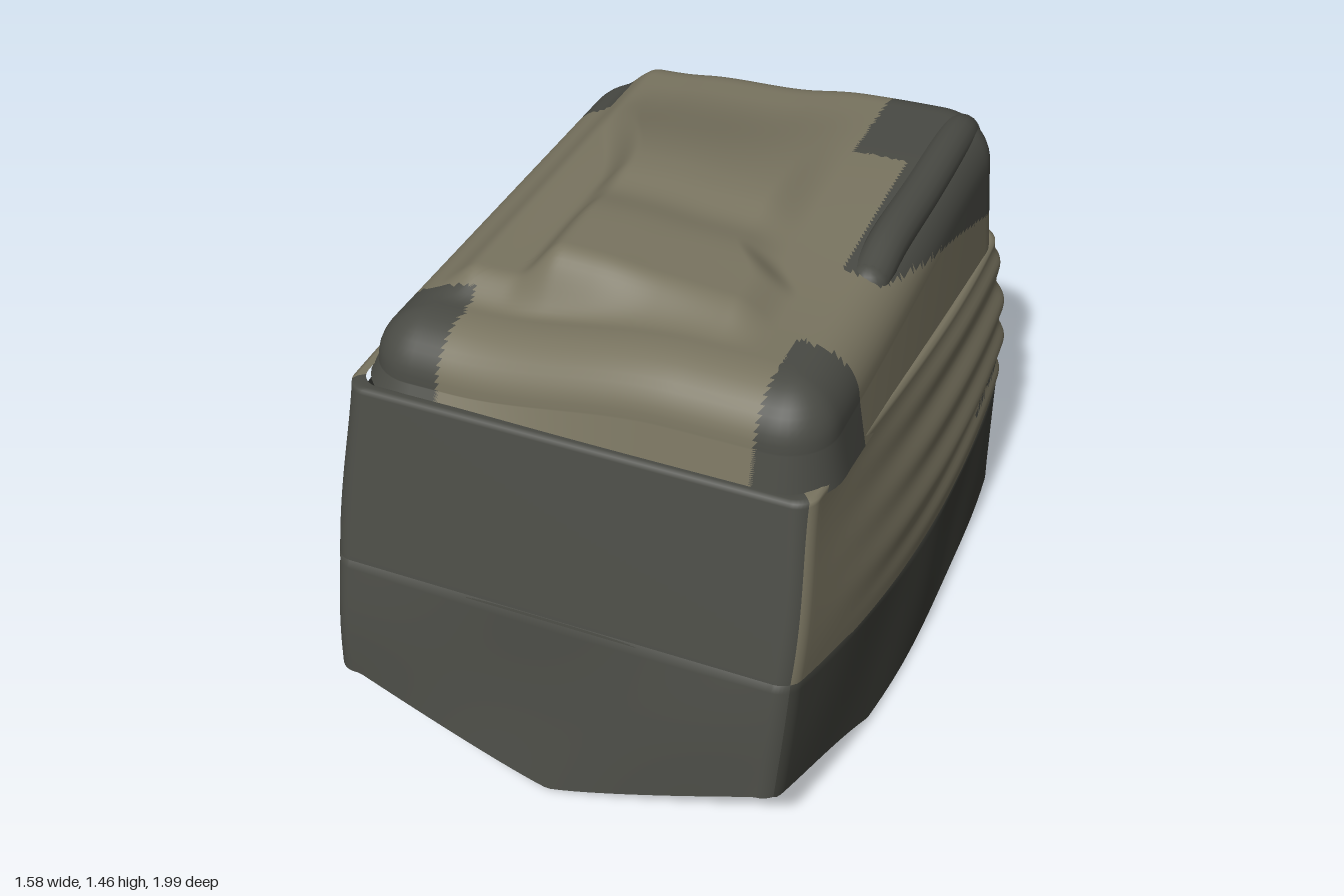
import * as THREE from 'three';

function flat(name, color) {
  const m = new THREE.MeshStandardMaterial({ color });
  m.name = name;
  return m;
}
const tan = flat('tanCloth', 0x797460);
const dark = flat('darkCloth', 0x494a44);
const deep = flat('deepDarkCloth', 0x3d3e38);

const { smoothstep, lerp, clamp } = THREE.MathUtils;
const gauss = (d, w) => Math.exp(-(d * d) / (w * w));

// Perimeter of a rounded rectangle: core position (kx, kz) and outward normal (nx, nz)
function makePerimeter(side, arc) {
  const corners = [[1, 1], [-1, 1], [-1, -1], [1, -1]];
  const out = [];
  corners.forEach(([kx, kz], c) => {
    for (let i = 0; i <= arc; i++) {
      const a = (c + i / arc) * Math.PI / 2;
      out.push({ kx, kz, nx: Math.cos(a), nz: Math.sin(a) });
    }
    const next = corners[(c + 1) % 4], a = (c + 1) * Math.PI / 2;
    for (let i = 1; i < side; i++) {
      out.push({
        kx: lerp(kx, next[0], i / side), kz: lerp(kz, next[1], i / side),
        nx: Math.cos(a), nz: Math.sin(a),
      });
    }
  });
  return out;
}
const perimeter = makePerimeter(72, 9);

// Point on the outline in plan: half width w, front zf, back zb, corner radii
function plan(e, { w, zf, zb, rf, rb }) {
  const r = lerp(rb, rf, (e.kz + 1) / 2);
  return [e.kx * (w - r) + e.nx * r, (zf + zb) / 2 + e.kz * ((zf - zb) / 2 - r) + e.nz * r];
}

// Lower body outline at height y, pulled inwards by inset; sides bow out behind the middle
function wall(e, y, inset = 0) {
  const zf = y < 0.58 ? 1.0 - 0.18 * y : 0.896 - (y - 0.58) * 0.245;
  const w = 0.785 - 0.07 * smoothstep(y, 0.6, 1.12);
  const [x, z] = plan(e, { w: w - inset, zf: zf - inset, zb: -0.985 + inset, rf: 0.06, rb: 0.13 });
  const narrow = z > -0.2
    ? (0.12 - 0.06 * smoothstep(y, 0.6, 1.1)) * ((z + 0.2) / 1.15) ** 2
    : 0.045 * ((z + 0.2) / 0.8) ** 2;
  return [x * (1 - narrow) - 0.018 * ((z + 0.3) / 1.1) ** 2, y, z];
}

const skirtTop = z => 0.455 + 0.087 * z + 0.063 * z * z;
const bandTop = z => Math.min(1.11, 1.055 + 0.1 * z);

// Hem: lifted at the front corners, dipping at the front centre, wavy elsewhere
function hem(e) {
  const [x, , z] = wall(e, 0.15);
  if (e.nz > 0.5) return 0.015 + 0.195 * Math.pow(Math.min(1, Math.abs(x + 0.015) / 0.62), 1.15);
  let y = 0.035 + 0.175 * clamp((z - 0.38) / 0.54, 0, 1) ** 0.9 + 0.012 * Math.sin(z * 7 + x * 5);
  if (x < 0) y += 0.11 * gauss(z + 0.35, 0.2) - 0.01;
  return y;
}

// Closed surface from rows of rings; pick(point, e) chooses the material index per triangle
function loft(name, rows, materials, pick, flip = false) {
  const n = perimeter.length, pos = [], lists = materials.map(() => []);
  rows.forEach(row => perimeter.forEach(e => pos.push(...row(e))));
  for (let j = 0; j < rows.length - 1; j++) {
    for (let i = 0; i < n; i++) {
      const a = j * n + i, b = j * n + (i + 1) % n, c = a + n, d = b + n;
      [[a, c, b], [b, c, d]].forEach(tri => {
        const mid = [0, 1, 2].map(k => tri.reduce((sum, v) => sum + pos[v * 3 + k] / 3, 0));
        lists[pick(mid, perimeter[i])].push(...(flip ? tri.reverse() : tri));
      });
    }
  }
  const g = new THREE.BufferGeometry();
  g.setAttribute('position', new THREE.Float32BufferAttribute(pos, 3));
  g.setIndex(lists.flat());
  let start = 0;
  lists.forEach((list, k) => {
    g.addGroup(start, list.length, k);
    start += list.length;
  });
  g.computeVertexNormals();
  const mesh = new THREE.Mesh(g, materials);
  mesh.name = name;
  return mesh;
}
const steps = (n, f) => Array.from({ length: n + 1 }, (_, i) => f(i / n));

// Lower skirt with soft vertical folds, darker on the sides and back
function makeSkirt() {
  const rows = steps(14, t => e => {
    const y = lerp(hem(e), skirtTop(wall(e, 0.5)[2]), t);
    const [x, , z] = wall(e, y);
    return wall(e, y, 0.008 * Math.sin(z * 9 + x * 6) * Math.sin(Math.PI * t));
  });
  rows.push(e => wall(e, skirtTop(wall(e, 0.5)[2]) + 0.006, 0.015));
  return loft('skirt', rows, [dark, deep], (p, e) => (e.nz > 0.5 ? 0 : 1));
}

// Middle band: rippled cloth on sides and back, plain panel at the front, thin dark slits
function makeBand() {
  const rows = steps(40, t => e => {
    const z0 = wall(e, 0.75)[2];
    const y = lerp(skirtTop(z0), bandTop(z0), t);
    const amp = 0.009 * smoothstep(-z0, -0.75, 0.5);
    const wave = Math.cos((t * 3.8 + 0.28) * 2 * Math.PI + 0.4 * Math.sin(z0 * 3));
    return wall(e, y, amp * wave * Math.min(1, 8 * t, 8 * (1 - t)));
  });
  [[0.004, 0.012], [0.002, 0.03]].forEach(([up, inset]) =>
    rows.push(e => wall(e, bandTop(wall(e, 0.75)[2]) + up, inset)));
  const slit = ([x, y, z], e) => Math.abs(y - 0.523) < 0.0068
    && (e.nz < -0.7 ? x > -0.6 && x < 0.1 : x > 0 && z < -0.55 && Math.abs(z + 0.69) > 0.015);
  return loft('middleBand', rows, [tan, dark], (p, e) => (e.nz > 0.5 || slit(p, e) ? 1 : 0));
}

// Height of the lumpy top
function topHeight(x, z) {
  const back = smoothstep(-z, -0.4, 0.6);
  let y = lerp(1.29, 1.37, smoothstep(x, -0.4, 0.25)) + 0.045 * back * smoothstep(x, -0.6, 0.5);
  y += 0.06 * smoothstep(x, -0.57, -0.46) * (1 - smoothstep(x, -0.3, 0.1)) * (1 - smoothstep(z, 0.4, 0.52));
  // central mound, spreading towards the back left and narrowing on the right
  const left = -0.34 - 0.17 * smoothstep(-z, 0.1, 0.6);
  const right = 0.34 + 0.09 * smoothstep(z, 0.1, 0.25);
  const mound = smoothstep(x, left, left + 0.13) * (1 - smoothstep(x, right - 0.14, right))
    * (1 - smoothstep(z, 0.36, 0.52)) * smoothstep(z, -0.75, -0.15);
  y += mound * (0.1 - 0.05 * smoothstep(x, -0.1, 0.3) - 0.02 * gauss(z - 0.02, 0.09));
  return y;
}

// Boundary of the dark patch running down the left side
const patchLine = z => 1.36 - 0.2 * (0.1 - z) - 0.09 * (0.1 - z) ** 2;

function capColour([x, y, z]) {
  if (x < -0.435 && z > 0.46) return 1;
  if (x > 0.495 && z > 0.42) return 1;
  if (x < -0.53 && z < -0.64) return 1;
  if (x > 0.33 && z < -0.5 && (z < -0.86 || y > patchLine(z))) return 1;
  return x > 0.5 && z < 0.08 && y > patchLine(z) ? 1 : 0;
}

// Rows of the rounded top from its lower edge to the middle, offset inwards by gap
function capRows(gap, nWall, nArc, nTop) {
  const R = 0.15;
  const ring = (e, d) => plan(e, {
    w: 0.7 - d, zf: 0.75 - d * 1.15, zb: -0.98 + d * 0.9,
    rf: Math.max(0.17 - d, 0.02), rb: Math.max(0.2 - d, 0.03),
  });
  const top = (x, z) => topHeight(x, z) - gap;
  const rows = steps(nWall, t => e => {
    const [x, z] = ring(e, gap + 0.025 * t);
    return [x, lerp(bandTop(z) - 0.02, top(x, z) - R, t), z];
  });
  rows.push(...steps(nArc, t => e => {
    const a = t * Math.PI / 2;
    const [x, z] = ring(e, gap + 0.025 + R * (1 - Math.cos(a)));
    return [x, top(x, z) - R * (1 - Math.sin(a)), z];
  }).slice(1));
  rows.push(...steps(nTop, t => e => {
    const [x0, z0] = ring(e, gap + 0.025 + R);
    const x = x0 * (1 - t), z = lerp(z0, -0.1, t);
    return [x, top(x, z), z];
  }).slice(1));
  return rows;
}

// Top cover with a rounded shoulder and patched corners
function makeCap() {
  return loft('topCover', capRows(0, 24, 10, 50), [tan, dark], capColour);
}

// Hollow inside, from the hem lip up to the underside of the top
function makeLining() {
  const rows = [e => wall(e, hem(e)), e => wall(e, hem(e) - 0.005, 0.01), e => wall(e, hem(e), 0.02)];
  rows.push(...steps(10, t => e => wall(e, lerp(hem(e) + 0.02, bandTop(wall(e, 0.75)[2]) - 0.04, t), 0.025)));
  rows.push(...capRows(0.025, 2, 5, 20));
  return loft('lining', rows, [dark], () => 0, true);
}

// Padded roll along the left top edge
function makeRoll() {
  const roll = new THREE.Group();
  roll.name = 'sideRoll';
  const pts = [[0.565, 1.335, 0.04], [0.565, 1.365, -0.1], [0.57, 1.372, -0.4], [0.565, 1.36, -0.8], [0.56, 1.335, -0.86]]
    .map(p => new THREE.Vector3(...p));
  roll.add(new THREE.Mesh(new THREE.TubeGeometry(new THREE.CatmullRomCurve3(pts), 40, 0.06, 16), dark));
  [pts[0], pts[4]].forEach(p => {
    const end = new THREE.Mesh(new THREE.SphereGeometry(0.06, 16, 12), dark);
    end.position.copy(p);
    roll.add(end);
  });
  roll.children.forEach((m, i) => { m.name = ['rollBody', 'rollFrontEnd', 'rollBackEnd'][i]; });
  return roll;
}

export function createModel() {
  const model = new THREE.Group();
  model.name = 'coveredPack';
  model.add(makeSkirt(), makeLining(), makeBand(), makeCap(), makeRoll());
  return model;
}
